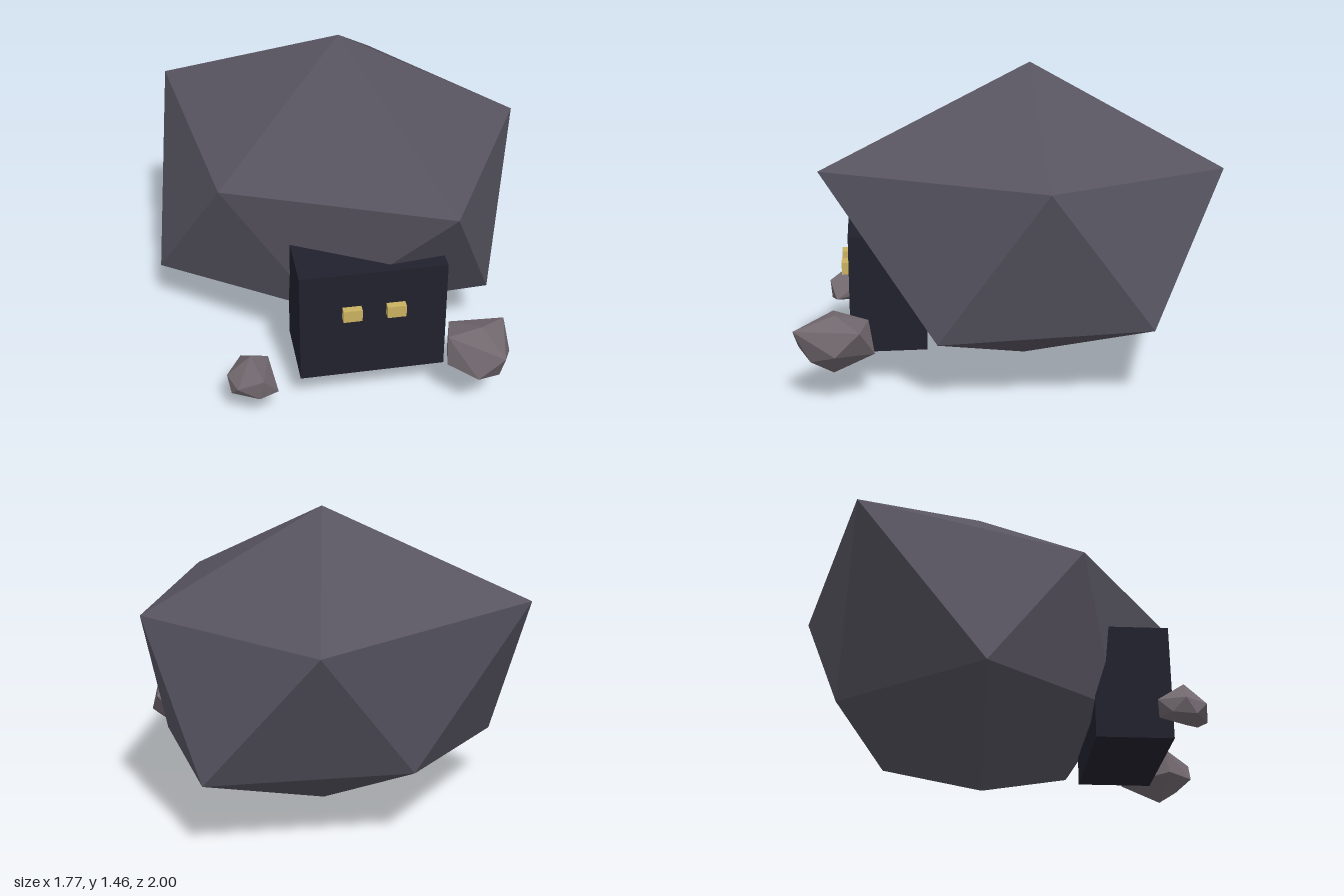
import * as THREE from 'three';
import { ConvexGeometry } from 'three/addons/geometries/ConvexGeometry.js';

function material(name, color) {
  const m = new THREE.MeshStandardMaterial({ color });
  m.name = name;
  return m;
}

export function createModel() {
  const model = new THREE.Group();
  model.name = 'rockCave';

  const darkStone = material('dark stone', 0x575460);
  const paleStone = material('pale stone', 0x72696f);
  const shadow = material('cave shadow', 0x20212c);
  const yellow = material('eye yellow', 0xc9b160);

  const add = (name, geometry, mat) => {
    const mesh = new THREE.Mesh(geometry, mat);
    mesh.name = name;
    model.add(mesh);
    return mesh;
  };

  // Faceted rock: the hull of its corners
  const rock = (name, mat, corners) =>
    add(name, new ConvexGeometry(corners.map((c) => new THREE.Vector3(...c))), mat);

  // Boulder: peak, upper ring of five, lower ring of five, foot
  rock('boulder', darkStone, [
    [0.02, 1.46, -0.13],
    [-0.78, 1.07, -0.70], [-0.61, 0.935, 0.32], [0.36, 1.02, 0.87],
    [0.885, 1.005, -0.11], [0.34, 0.99, -1.0],
    [-0.89, 0.265, -0.13], [-0.18, 0.36, 0.50], [0.67, 0.29, 0.36],
    [0.74, 0.345, -0.60], [-0.18, 0.355, -0.79],
    [0, 0, -0.11],
  ]);

  // Loose stones beside the opening
  rock('leftStone', paleStone, [
    [0.515, 0.395, 0.81], [0.515, 0.125, 0.82],
    [0.65, 0.35, 0.70], [0.574, 0.345, 0.995], [0.355, 0.367, 0.82], [0.40, 0.33, 0.66],
    [0.653, 0.243, 0.81], [0.46, 0.235, 0.978], [0.35, 0.235, 0.85],
    [0.39, 0.20, 0.69], [0.55, 0.22, 0.635], [0.575, 0.20, 0.92],
  ]);
  rock('rightStone', paleStone, [
    [-0.535, 0.33, 0.75], [-0.535, 0.138, 0.75],
    [-0.644, 0.225, 0.735], [-0.57, 0.24, 0.625], [-0.45, 0.263, 0.68],
    [-0.49, 0.26, 0.858], [-0.606, 0.21, 0.83],
    [-0.63, 0.155, 0.78], [-0.61, 0.17, 0.68], [-0.46, 0.20, 0.65],
    [-0.422, 0.172, 0.825], [-0.51, 0.16, 0.85],
  ]);

  // Dark block of the cave mouth
  add('caveMouth', new THREE.BoxGeometry(0.67, 0.55, 0.355), shadow)
    .position.set(0.025, 0.437, 0.567);

  // Glowing eyes on the front of the block
  for (const [name, side] of [['leftEye', 1], ['rightEye', -1]]) {
    add(name, new THREE.BoxGeometry(0.086, 0.058, 0.07), yellow)
      .position.set(0.025 + side * 0.1, 0.51, 0.745);
  }

  return model;
}
